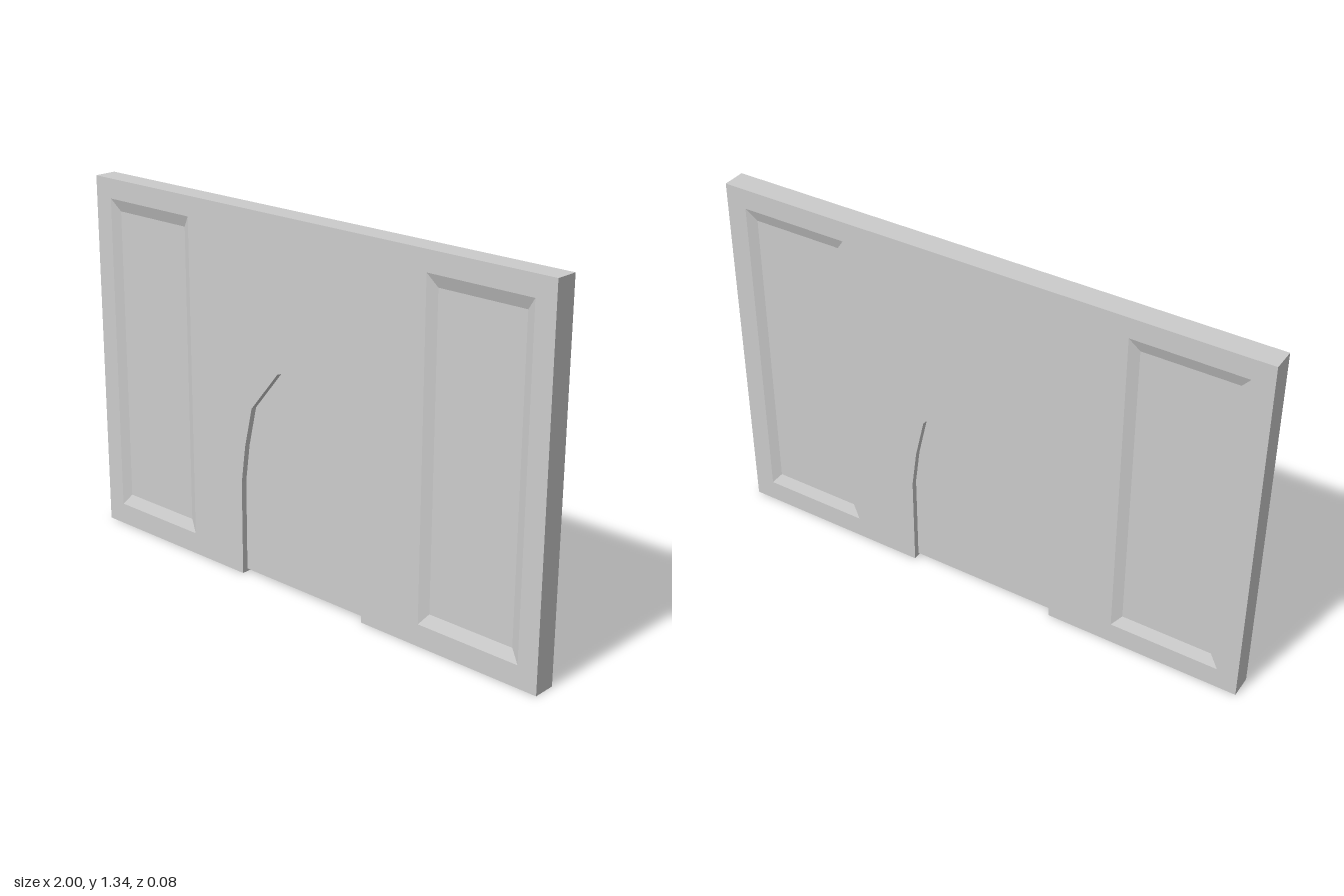
import * as THREE from 'three';

const HEIGHT = 1.335, HALF = 0.042, DOOR_HALF = 0.02, RECESS = 0.016;
const material = new THREE.MeshStandardMaterial({ color: 0xcccccc, flatShading: true });

// Right half of the pointed arch, from the springing up to the apex
const archSide = [[0.281, 0.35], [0.262, 0.49], [0.228, 0.638], [0.104, 0.79]];

function archLoop(bottom) {
  const right = [[0.281, bottom], ...archSide];
  const left = right.map(([x, y]) => [-x, y]).reverse();
  return [...right, [0, 0.83], ...left];
}

const rect = (x0, y0, x1, y1) => [[x0, y0], [x1, y0], [x1, y1], [x0, y1]];
const toPoints = (loop) => loop.map(([x, y]) => new THREE.Vector2(x, y));

function mesh(name, geometry) {
  const m = new THREE.Mesh(geometry, material);
  m.name = name;
  return m;
}

// Closed band of quads joining loop a at depth za to loop b at depth zb
function band(a, za, b, zb) {
  const pos = [];
  a.forEach((p, i) => {
    const j = (i + 1) % a.length;
    const A = [...p, za], B = [...b[i], zb], C = [...b[j], zb], D = [...a[j], za];
    pos.push(...A, ...B, ...C, ...A, ...C, ...D);
  });
  const g = new THREE.BufferGeometry();
  g.setAttribute('position', new THREE.Float32BufferAttribute(pos, 3));
  g.computeVertexNormals();
  return g;
}

export function createModel() {
  const model = new THREE.Group();
  model.name = 'archedWall';

  // Wall outline, counter-clockwise, with the doorway cut into its foot
  const outline = [
    [-1, 0], ...archLoop(0).reverse(), [1, 0], [1, HEIGHT], [-1, HEIGHT],
  ];
  model.add(mesh('wallEdges', band(outline, HALF, outline, -HALF)));

  const panels = [-1, 1].map((side) => {
    const cx = side * 0.725;
    return {
      outer: rect(cx - 0.2, 0.08, cx + 0.2, 1.262),
      inner: rect(cx - 0.166, 0.122, cx + 0.166, 1.218),
    };
  });

  // Wall face with two bevelled sunken panels, the same on front and back
  for (const [name, turn] of [['frontFace', 0], ['backFace', Math.PI]]) {
    const face = new THREE.Group();
    face.name = name;
    face.rotation.y = turn;
    const shape = new THREE.Shape(toPoints(outline));
    panels.forEach(({ outer, inner }) => {
      shape.holes.push(new THREE.Path(toPoints(outer)));
      face.add(mesh('panelBevel', band(inner, HALF - RECESS, outer, HALF)));
      const floor = new THREE.ShapeGeometry(new THREE.Shape(toPoints(inner)));
      face.add(mesh('panelFloor', floor.translate(0, 0, HALF - RECESS)));
    });
    face.add(mesh('wallFace', new THREE.ShapeGeometry(shape).translate(0, 0, HALF)));
    model.add(face);
  }

  // Thinner door slab filling the arch, just clear of the ground
  const door = new THREE.ExtrudeGeometry(new THREE.Shape(toPoints(archLoop(0.01))), {
    depth: DOOR_HALF * 2, bevelEnabled: false,
  });
  model.add(mesh('door', door.translate(0, 0, -DOOR_HALF)));

  return model;
}
